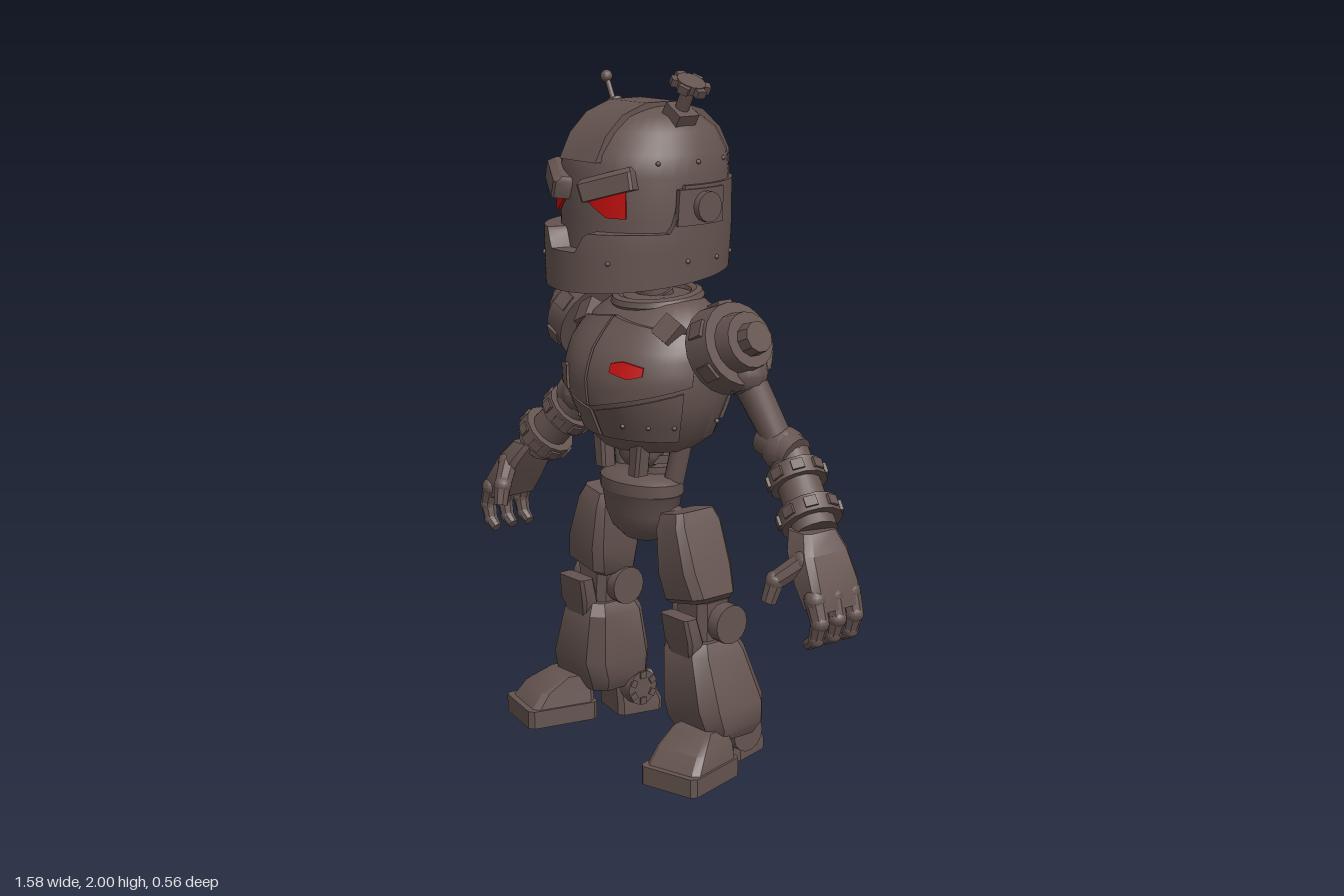
import * as THREE from 'three';
import { toCreasedNormals } from 'three/addons/utils/BufferGeometryUtils.js';

const metal = new THREE.MeshStandardMaterial({ color: 0x655450 });
metal.name = 'dark metal';
const red = new THREE.MeshStandardMaterial({ color: 0xc41010 });
red.name = 'glowing red';

const V = (x, y, z) => new THREE.Vector3(x, y, z);
const rad = THREE.MathUtils.degToRad;

function add(parent, name, geo, mat = metal) {
  const m = new THREE.Mesh(toCreasedNormals(geo, 0.6), mat);
  m.name = name;
  parent.add(m);
  return m;
}

// Skin a list of equal closed loops and cap both ends
function skin(loops) {
  const n = loops[0].length, idx = [], last = (loops.length - 1) * n;
  for (let i = 0; i < loops.length - 1; i++) for (let k = 0; k < n; k++) {
    const a = i * n + k, b = i * n + (k + 1) % n;
    idx.push(a, b, b + n, a, b + n, a + n);
  }
  for (let k = 1; k < n - 1; k++) idx.push(0, k + 1, k, last, last + k, last + k + 1);
  const g = new THREE.BufferGeometry().setFromPoints(loops.flat());
  g.setIndex(idx);
  return g;
}

// Chamfered block from rows [y, centre x, centre z, half width, half depth]
function block(rows, c = 0.35) {
  return skin(rows.map(([y, cx, cz, w, d]) => {
    const k = c * Math.min(w, d);
    return [[w, k - d], [w - k, -d], [k - w, -d], [-w, k - d], [-w, d - k], [k - w, d], [w - k, d], [w, d - k]]
      .map(([x, z]) => V(cx + x, y, cz + z));
  }));
}

// Oval surface from rows [y, half width, front z, back z], addressed by angle and height
function surface(rows) {
  return (a, y, off = 0) => {
    let i = 0;
    while (i < rows.length - 2 && y > rows[i + 1][0]) i++;
    const t = THREE.MathUtils.clamp((y - rows[i][0]) / (rows[i + 1][0] - rows[i][0]), 0, 1);
    const [w, f, b] = [1, 2, 3].map(k => THREE.MathUtils.lerp(rows[i][k], rows[i + 1][k], t));
    return V((w + off) * Math.cos(a), y, (f + b) / 2 + ((f - b) / 2 + off) * Math.sin(a));
  };
}

function shell(rows, n = 36) {
  const s = surface(rows);
  return skin(rows.map(r => Array.from({ length: n }, (_, k) => s(-k / n * Math.PI * 2, r[0]))));
}

// Curved armour plate lying on a surface; angles in degrees, 90 is the front
function plate(s, a0, a1, low, high, off, depth, nu = 16, nv = 6) {
  const loops = [];
  for (let i = 0; i <= nu; i++) {
    const d = a0 + (a1 - a0) * i / nu, a = rad(d), lo = low(d), hi = high(d), loop = [];
    for (let j = 0; j <= nv; j++) loop.push(s(a, lo + (hi - lo) * j / nv, off));
    loop.push(s(a, hi, off - depth), s(a, lo, off - depth));
    loops.push(loop);
  }
  return skin(loops);
}

// Cylinder between two points
function rod(p, q, r0, r1 = r0, n = 14) {
  const a = V(...p), b = V(...q), d = b.clone().sub(a);
  const g = new THREE.CylinderGeometry(r1, r0, d.length(), n);
  g.applyQuaternion(new THREE.Quaternion().setFromUnitVectors(V(0, 1, 0), d.normalize()));
  return g.translate(...a.add(b).multiplyScalar(0.5).toArray());
}
const ball = (p, r) => new THREE.SphereGeometry(r, 12, 8).translate(...p);

// Chain of tapering segments for fingers
function chain(parent, name, pts, r) {
  for (let i = 0; i < pts.length - 1; i++) {
    add(parent, name, rod(pts[i], pts[i + 1], r * (1 - i * 0.15), r * (0.85 - i * 0.15), 8));
    add(parent, name + 'Joint', ball(pts[i], r * (1.05 - i * 0.15)));
  }
}

// Knobs set around an axis
function knobs(parent, name, p, q, radius, count, size) {
  const g = new THREE.Group();
  g.name = name + 's';
  g.position.set(...p);
  g.quaternion.setFromUnitVectors(V(0, 1, 0), V(...q).sub(V(...p)).normalize());
  for (let i = 0; i < count; i++) {
    const t = i / count * Math.PI * 2;
    const m = add(g, name, new THREE.BoxGeometry(...size));
    m.position.set(radius * Math.cos(t), 0, radius * Math.sin(t));
    m.rotation.y = -t;
  }
  parent.add(g);
}

function buildHead(root) {
  const head = new THREE.Group();
  head.name = 'head';
  root.add(head);
  const skullRows = [[1.47, 0.23, 0.22, -0.25], [1.6, 0.237, 0.22, -0.26], [1.72, 0.237, 0.222, -0.262],
    [1.78, 0.228, 0.212, -0.255], [1.84, 0.197, 0.168, -0.222], [1.88, 0.15, 0.12, -0.165], [1.905, 0.07, 0.05, -0.09], [1.91, 0.01, 0, -0.02]];
  const skull = surface(skullRows);
  add(head, 'skull', shell(skullRows));
  // Jaw and cheek guard wrapping to the back
  const jaw = surface([[1.4, 0.243, 0.277, -0.262], [1.55, 0.252, 0.28, -0.272], [1.7, 0.25, 0.26, -0.272]]);
  const jawTop = d => {
    const e = Math.abs(d - 90);
    return e < 12 ? 1.515 : e < 20 ? 1.515 + (e - 12) * 0.0075 : e < 74 ? 1.57 : e < 80 ? 1.57 + (e - 74) * 0.022 : 1.7;
  };
  add(head, 'jawGuard', plate(jaw, -90, 270, d => 1.429 - 0.027 * Math.sin(rad(d)), jawTop, 0, 0.065, 120, 5));
  // Crest running over the top and down the back
  const arc = [[0.222, 1.76], [0.185, 1.83], [0.125, 1.885], [0.04, 1.914], [-0.07, 1.914], [-0.17, 1.885], [-0.235, 1.83], [-0.268, 1.77], [-0.28, 1.49]];
  const inner = arc.map(([z, y]) => [-0.02 + (z + 0.02) * 0.85, y < 1.8 ? y : 1.6 + (y - 1.6) * 0.85]).reverse();
  const crest = new THREE.ExtrudeGeometry(new THREE.Shape([...arc, ...inner].map(p => new THREE.Vector2(...p))), { depth: 0.16, bevelEnabled: false });
  add(head, 'crest', crest.rotateY(-Math.PI / 2).translate(0.08, 0, 0));
  for (const s of [-1, 1]) {
    const side = new THREE.Group();
    side.name = s > 0 ? 'leftFace' : 'rightFace';
    side.scale.x = s;
    head.add(side);
    add(side, 'eye', plate(skull, 51, 78, d => 1.61 + Math.max(0, d - 64) * 0.003, d => 1.7 - (d - 51) * 0.0016, 0.012, 0.009, 6, 2), red);
    const brow = add(side, 'brow', block([[-0.03, 0, 0, 0.078, 0.035], [0.02, 0, 0, 0.082, 0.035], [0.034, 0, -0.01, 0.074, 0.025]], 0.2));
    brow.position.set(0.106, 1.7, 0.195);
    brow.rotation.set(-0.12, 0.5, 0.33);
    add(side, 'earPad', plate(jaw, -22, 14, () => 1.59, () => 1.69, 0.008, 0.02, 4, 2));
    add(side, 'earCap', rod([0.23, 1.64, -0.025], [0.278, 1.64, -0.025], 0.043));
    for (const d of [-70, -45, -20, 5, 55]) add(side, 'rivet', ball(jaw(rad(d), 1.49).toArray(), 0.007));
    for (const d of [-60, -30, 0, 30]) add(side, 'rivet', ball(skull(rad(d), 1.76).toArray(), 0.007));
  }
  add(head, 'antenna', rod([-0.12, 1.86, -0.02], [-0.17, 1.965, -0.02], 0.008));
  add(head, 'antennaBase', rod([-0.115, 1.86, -0.02], [-0.138, 1.908, -0.02], 0.022));
  add(head, 'antennaTip', ball([-0.172, 1.97, -0.02], 0.018));
  add(head, 'valveBase', new THREE.BoxGeometry(0.07, 0.06, 0.07).rotateZ(-0.55).translate(0.15, 1.875, -0.02));
  add(head, 'valveStem', rod([0.14, 1.86, -0.02], [0.197, 1.97, -0.02], 0.02));
  add(head, 'valveWheel', rod([0.19, 1.957, -0.02], [0.202, 1.98, -0.02], 0.042, 0.042, 12));
  knobs(head, 'valveGrip', [0.196, 1.968, -0.02], [0.208, 1.991, -0.02], 0.043, 6, [0.026, 0.022, 0.03]);
  add(root, 'neck', rod([0, 1.3, -0.06], [0, 1.5, -0.03], 0.05));
  for (const y of [1.345, 1.39, 1.43]) add(root, 'neckRing', rod([0, y, -0.055], [0, y + 0.02, -0.05], 0.06));
}

function buildTorso(root) {
  const rows = [[0.92, 0.15, 0.09, -0.17], [0.96, 0.205, 0.13, -0.215], [1.07, 0.247, 0.178, -0.255], [1.15, 0.256, 0.183, -0.27],
    [1.22, 0.25, 0.16, -0.272], [1.3, 0.215, 0.095, -0.24], [1.345, 0.155, 0.035, -0.19], [1.36, 0.11, 0, -0.16]];
  const s = surface(rows);
  add(root, 'torso', shell(rows));
  add(root, 'collar', new THREE.TorusGeometry(0.115, 0.022, 8, 28).rotateX(Math.PI / 2 + 0.1).translate(0, 1.345, -0.07));
  add(root, 'backPlate', plate(s, 222, 318, () => 1.0, () => 1.31, 0.01, 0.03));
  add(root, 'hatch', plate(s, 112, 130, d => 1.1 - Math.abs(d - 121) * 0.001, d => 1.165 - Math.abs(d - 118) * 0.001, 0.022, 0.02, 4, 2));
  add(root, 'chestLight', plate(s, 49, 71, d => 1.156 + Math.abs(d - 58) * 0.0012, d => 1.204 - Math.abs(d - 63) * 0.001, 0.023, 0.009, 6, 2), red);
  for (const k of [-1, 1]) {
    const half = new THREE.Group();
    half.name = k > 0 ? 'leftTorso' : 'rightTorso';
    half.scale.x = k;
    root.add(half);
    add(half, 'chestPlate', plate(s, 15, 89, d => 1.06 + (89 - d) * 0.001, d => 1.31 - (89 - d) * 0.0005, 0.014, 0.03));
    add(half, 'bellyPlate', plate(s, 20, 88, () => 0.965, d => 1.045 + (89 - d) * 0.001, 0.008, 0.03, 12, 3));
    const strap = add(half, 'shoulderClamp', new THREE.BoxGeometry(0.065, 0.07, 0.06));
    strap.position.set(0.18, 1.282, 0.035);
    strap.rotation.set(-0.6, 0.3, -0.3);
    for (const d of [-50, -20, 25, 45, 65]) add(half, 'rivet', ball(s(rad(d), 1.01, 0.008).toArray(), 0.007));
    // Waist struts and hip joint
    add(half, 'waistStrut', block([[0.85, 0.075, 0.065, 0.022, 0.025], [0.95, 0.085, 0.065, 0.025, 0.025]]));
    add(half, 'sideStrut', rod([0.11, 0.82, -0.04], [0.14, 0.96, -0.05], 0.03));
    add(half, 'hipJoint', rod([0.08, 0.72, -0.03], [0.19, 0.68, -0.03], 0.045));
  }
  add(root, 'waistCore', ball([0, 0.91, -0.01], 0.07));
  for (let i = 0; i < 4; i++) add(root, 'spineDisc', rod([0, 0.83 + i * 0.035, -0.06], [0, 0.855 + i * 0.035, -0.06], 0.075));
  const profile = [[0, 0.63], [0.06, 0.637], [0.105, 0.67], [0.13, 0.72], [0.14, 0.775], [0.148, 0.785], [0.148, 0.82], [0.125, 0.835], [0, 0.835]];
  const pelvis = add(root, 'pelvis', new THREE.LatheGeometry(profile.map(p => new THREE.Vector2(...p)), 20));
  pelvis.scale.z = 0.7;
  pelvis.position.z = -0.01;
}

function buildArm(arm) {
  const sh = (x, y) => [x, y, -0.065];
  add(arm, 'shoulderJoint', rod(sh(0.19, 1.19), sh(0.32, 1.24), 0.07));
  add(arm, 'shoulderDisc', rod(sh(0.285, 1.232), sh(0.36, 1.265), 0.128, 0.12, 20));
  add(arm, 'shoulderHub', rod(sh(0.35, 1.26), sh(0.405, 1.283), 0.09, 0.08, 16));
  add(arm, 'shoulderCap', rod(sh(0.39, 1.276), sh(0.44, 1.297), 0.05, 0.045, 10));
  knobs(arm, 'shoulderTab', sh(0.325, 1.25), sh(0.415, 1.29), 0.118, 6, [0.022, 0.05, 0.05]);
  add(arm, 'armSocket', ball([0.36, 1.18, -0.085], 0.068));
  add(arm, 'upperArm', rod([0.36, 1.18, -0.085], [0.45, 0.99, -0.135], 0.05, 0.042));
  add(arm, 'elbow', rod([0.4, 1.0, -0.135], [0.51, 0.96, -0.145], 0.055));
  add(arm, 'elbowBall', ball([0.46, 0.97, -0.145], 0.065));
  // Forearm with two toothed cuffs
  const at = t => [0.47 + 0.17 * t, 0.955 - 0.18 * t, -0.155 + 0.055 * t];
  add(arm, 'forearm', rod(at(0), at(1), 0.06, 0.065));
  for (const [t, r] of [[0.2, 0.082], [0.68, 0.088]]) {
    add(arm, 'cuff', rod(at(t), at(t + 0.2), r));
    knobs(arm, 'cuffTooth', at(t + 0.1), at(t + 0.2), r - 0.005, 8, [0.02, 0.03, 0.035]);
  }
  add(arm, 'hand', block([[0.6, 0.742, -0.065, 0.038, 0.08], [0.66, 0.716, -0.07, 0.05, 0.088],
    [0.74, 0.667, -0.08, 0.052, 0.08], [0.79, 0.635, -0.09, 0.045, 0.06]]));
  for (const z of [-0.13, -0.065, 0])
    chain(arm, 'finger', [[0.745, 0.63, z], [0.765, 0.57, z], [0.752, 0.52, z], [0.72, 0.498, z]], 0.03);
  chain(arm, 'thumb', [[0.68, 0.72, -0.02], [0.63, 0.665, 0.04], [0.62, 0.605, 0.055]], 0.032);
}

function buildLeg(leg) {
  // Thigh leaning outward toward the knee
  const thigh = add(leg, 'thigh', block([[-0.135, 0, -0.01, 0.072, 0.065], [-0.12, 0.004, -0.005, 0.084, 0.08], [-0.04, 0.002, 0, 0.08, 0.09],
    [0.09, 0, 0, 0.062, 0.085], [0.13, 0, 0, 0.05, 0.07]], 0.3));
  thigh.position.set(0.2, 0.622, -0.035);
  thigh.rotation.z = 0.2;
  add(leg, 'knee', rod([0.135, 0.435, -0.07], [0.335, 0.435, -0.07], 0.058, 0.058, 16));
  add(leg, 'kneeCore', block([[0.36, 0.235, -0.05, 0.06, 0.06], [0.5, 0.23, -0.05, 0.065, 0.06]]));
  add(leg, 'kneeCap', block([[0.345, 0.245, 0.03, 0.045, 0.02], [0.39, 0.245, 0.035, 0.062, 0.028], [0.465, 0.24, 0.05, 0.058, 0.025]]));
  add(leg, 'shin', block([[0.1, 0.265, -0.07, 0.1, 0.09], [0.14, 0.265, -0.07, 0.122, 0.11], [0.2, 0.262, -0.065, 0.12, 0.123],
    [0.35, 0.236, -0.05, 0.096, 0.1], [0.385, 0.236, -0.05, 0.075, 0.08]]));
  add(leg, 'calfPlate', block([[0.17, 0.26, -0.18, 0.07, 0.015], [0.34, 0.237, -0.145, 0.06, 0.015]]));
  add(leg, 'ankle', rod([0.14, 0.09, -0.13], [0.345, 0.09, -0.13], 0.055));
  knobs(leg, 'ankleBolt', [0.15, 0.09, -0.13], [0.1, 0.09, -0.13], 0.042, 6, [0.022, 0.03, 0.022]);
  // Heel and toe cap, both splayed outward
  const heel = new THREE.Group();
  heel.name = 'heel';
  heel.position.set(0.235, 0, -0.155);
  heel.rotation.y = 0.24;
  add(heel, 'heelBlock', block([[0, 0, -0.005, 0.078, 0.075], [0.035, 0, -0.005, 0.078, 0.075], [0.13, 0, 0.02, 0.062, 0.055]], 0.2));
  add(heel, 'heelPin', rod([0, 0.08, -0.04], [0, 0.085, -0.075], 0.025));
  const toe = new THREE.Group();
  toe.name = 'toe';
  toe.position.set(0.328, 0, 0.08);
  toe.rotation.y = 0.24;
  add(toe, 'toeSole', block([[0, 0, 0, 0.098, 0.115], [0.055, 0, 0, 0.098, 0.115]], 0.15));
  add(toe, 'toeCap', block([[0.05, 0, -0.005, 0.092, 0.105], [0.1, 0, -0.025, 0.082, 0.085], [0.14, -0.01, -0.06, 0.065, 0.045]], 0.2));
  leg.add(heel, toe);
}

export function createModel() {
  const root = new THREE.Group();
  root.name = 'robot';
  buildHead(root);
  buildTorso(root);
  for (const s of [1, -1]) for (const [name, build] of [['Arm', buildArm], ['Leg', buildLeg]]) {
    const limb = new THREE.Group();
    limb.name = (s > 0 ? 'left' : 'right') + name;
    limb.scale.x = s;
    build(limb);
    root.add(limb);
  }
  return root;
}
